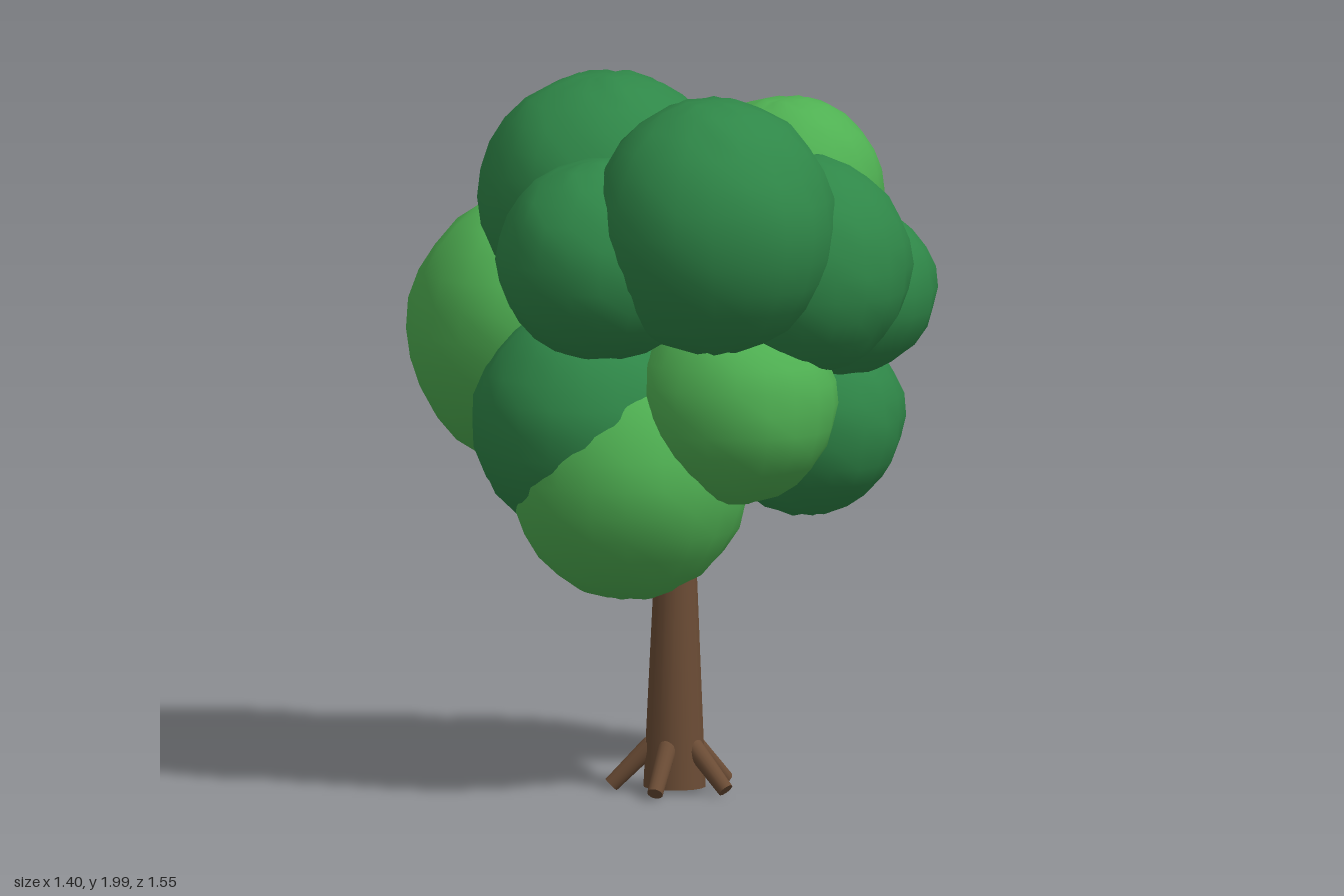
import * as THREE from 'three';
import { mergeVertices } from 'three/addons/utils/BufferGeometryUtils.js';

const flat = (name, color) => {
  const m = new THREE.MeshStandardMaterial({ color });
  m.name = name;
  return m;
};

// Lumpy sphere: each vertex is pushed in a little by smooth waves and fine bumps
function blobGeometry(rx, ry, rz, seed) {
  let g = new THREE.SphereGeometry(1, 20, 14);
  g.deleteAttribute('uv');
  g.deleteAttribute('normal');
  g = mergeVertices(g, 1e-4);
  const p = g.attributes.position;
  const v = new THREE.Vector3();
  for (let i = 0; i < p.count; i++) {
    v.fromBufferAttribute(p, i);
    const wave = Math.sin(v.x * 4 + seed) * Math.sin(v.y * 5 + seed * 2) * Math.sin(v.z * 4.5 + seed * 3);
    const bump = Math.sin(i * 12.9898 + seed * 78.233) * 43758.5453;
    const k = 0.985 + 0.012 * wave + 0.03 * (bump - Math.floor(bump) - 0.5);
    p.setXYZ(i, v.x * rx * k, v.y * ry * k, v.z * rz * k);
  }
  g.computeVertexNormals();
  return g;
}

// Cylinder between two points
function limb(from, to, r0, r1, mat, name) {
  const a = new THREE.Vector3(...from), b = new THREE.Vector3(...to);
  const d = b.clone().sub(a);
  const m = new THREE.Mesh(new THREE.CylinderGeometry(r1, r0, d.length(), 16), mat);
  m.position.copy(a).add(b).multiplyScalar(0.5);
  m.quaternion.setFromUnitVectors(new THREE.Vector3(0, 1, 0), d.normalize());
  m.name = name;
  return m;
}

export function createModel() {
  const tree = new THREE.Group();
  tree.name = 'tree';
  const bark = flat('bark brown', 0x6b4c35);
  const dark = flat('dark leaf green', 0x2f8748);
  const light = flat('light leaf green', 0x4fb052);

  // Trunk and the branch towards the low side cluster
  const cx = -0.08, cz = 0.067;
  tree.add(limb([cx, 0.018, cz], [cx + 0.005, 0.95, cz], 0.087, 0.045, bark, 'trunk'));
  tree.add(limb([cx, 0.82, cz], [0.34, 1.08, 0.03], 0.045, 0.03, bark, 'branch'));

  // Five splayed roots with rounded tops
  const roots = new THREE.Group();
  roots.name = 'roots';
  for (let i = 0; i < 5; i++) {
    const a = (i / 5) * Math.PI * 2;
    const at = (r, y) => [cx + Math.cos(a) * r, y, cz + Math.sin(a) * r];
    roots.add(limb(at(0.175, 0.022), at(0.066, 0.132), 0.022, 0.027, bark, 'root'));
    const cap = new THREE.Mesh(new THREE.SphereGeometry(0.027, 12, 8), bark);
    cap.position.set(...at(0.066, 0.132));
    cap.name = 'rootTop';
    roots.add(cap);
  }
  tree.add(roots);

  // Foliage clusters: name, material, centre, radii
  const clusters = [
    ['topFront', dark, [-0.21, 1.645, 0.43], [0.345, 0.36, 0.345]],
    ['topBack', dark, [-0.125, 1.64, -0.19], [0.365, 0.355, 0.355]],
    ['upperRight', dark, [-0.41, 1.54, 0.18], [0.3, 0.285, 0.29]],
    ['upperFront', dark, [0.11, 1.505, 0.41], [0.305, 0.31, 0.305]],
    ['topLeft', light, [0.27, 1.66, 0.11], [0.275, 0.265, 0.28]],
    ['middleLeft', dark, [0.39, 1.38, 0.13], [0.315, 0.26, 0.315]],
    ['middleLeftBack', dark, [0.25, 1.32, -0.03], [0.28, 0.28, 0.285]],
    ['lowLeft', dark, [0.385, 1.01, 0.045], [0.275, 0.28, 0.28]],
    ['middleBack', light, [-0.21, 1.25, -0.42], [0.355, 0.385, 0.36]],
    ['upperBack', light, [-0.03, 1.56, -0.25], [0.295, 0.27, 0.3]],
    ['middleFront', light, [-0.05, 1.12, 0.31], [0.285, 0.285, 0.295]],
    ['lowRight', light, [-0.235, 0.905, 0.07], [0.345, 0.35, 0.325]],
    ['middleRight', dark, [-0.315, 1.05, -0.03], [0.32, 0.33, 0.32]],
    ['core', light, [-0.08, 1.22, -0.03], [0.28, 0.3, 0.28]],
  ];
  const foliage = new THREE.Group();
  foliage.name = 'foliage';
  clusters.forEach(([name, mat, c, r], i) => {
    const m = new THREE.Mesh(blobGeometry(...r, i + 1), mat);
    m.position.set(...c);
    m.name = name + 'Leaves';
    foliage.add(m);
  });
  tree.add(foliage);
  return tree;
}
